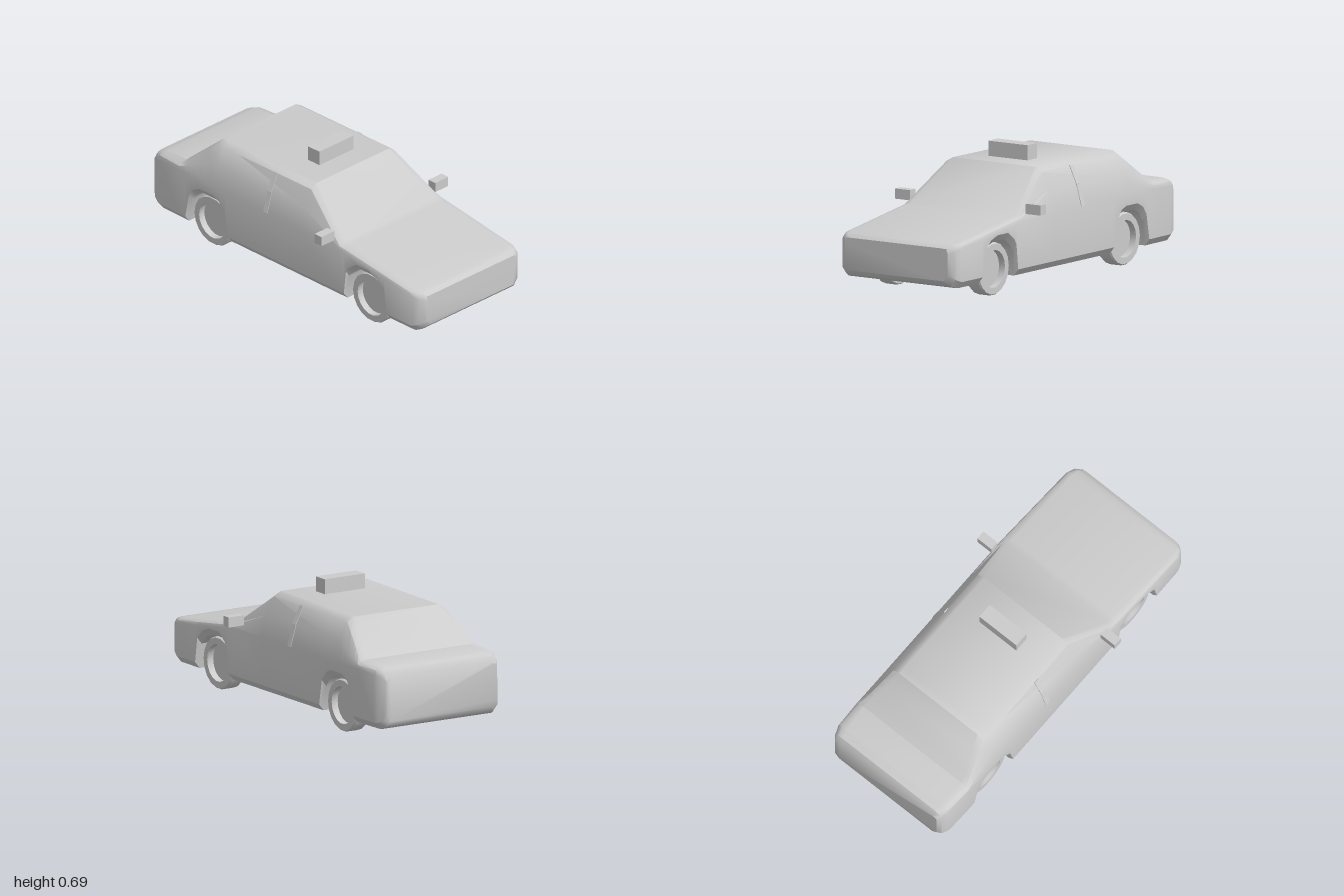
import * as THREE from 'three';
import { toCreasedNormals } from 'three/addons/utils/BufferGeometryUtils.js';

// Upper half-section along the car: z, then x,y of sill width, belt, window, cant rail, roof edge
const UPPER = [
  [1.00, 0.330, 0.330, 0.270, 0.325, 0.285, 0.315, 0.293, 0.300, 0.298],
  [0.975, 0.362, 0.362, 0.285, 0.355, 0.300, 0.345, 0.310, 0.330, 0.315],
  [0.93, 0.378, 0.378, 0.295, 0.372, 0.310, 0.360, 0.318, 0.340, 0.322],
  [0.40, 0.382, 0.382, 0.370, 0.375, 0.385, 0.360, 0.393, 0.335, 0.398],
  [0.12, 0.382, 0.382, 0.375, 0.350, 0.490, 0.305, 0.585, 0.265, 0.608],
  [-0.57, 0.382, 0.382, 0.375, 0.350, 0.490, 0.305, 0.580, 0.265, 0.603],
  [-0.78, 0.382, 0.382, 0.380, 0.378, 0.400, 0.360, 0.415, 0.330, 0.422],
  [-0.93, 0.378, 0.378, 0.375, 0.370, 0.400, 0.350, 0.412, 0.320, 0.416],
  [-0.98, 0.362, 0.360, 0.365, 0.350, 0.385, 0.335, 0.395, 0.310, 0.400],
  [-1.00, 0.345, 0.345, 0.350, 0.335, 0.360, 0.320, 0.365, 0.300, 0.370],
];

// Underside height along the car, with the wheel arches cut in: z, y
const LOWER = [
  [1, 0.125], [0.975, 0.1], [0.94, 0.085],
  [0.755, 0.085], [0.735, 0.22], [0.68, 0.27], [0.62, 0.29],
  [0.53, 0.29], [0.475, 0.25], [0.455, 0.22], [0.44, 0.085],
  [-0.42, 0.085], [-0.445, 0.22], [-0.49, 0.275], [-0.53, 0.29],
  [-0.63, 0.29], [-0.68, 0.265], [-0.71, 0.22], [-0.735, 0.085],
  [-0.95, 0.085], [-0.98, 0.1], [-1, 0.13],
];

// Linear lookup in a table sorted by falling z
function sample(table, z) {
  let i = 0;
  while (i < table.length - 2 && z < table[i + 1][0]) i++;
  const a = table[i], b = table[i + 1];
  const t = (a[0] - z) / (a[0] - b[0]);
  return a.slice(1).map((v, k) => v + (b[k + 1] - v) * t);
}

// Body shell lofted through mirrored cross-sections
function bodyGeometry() {
  const zs = [...new Set([...UPPER, ...LOWER].map((r) => r[0]))].sort((a, b) => b - a);
  const positions = [], index = [];
  const n = 12;
  zs.forEach((z) => {
    const [hw, ...u] = sample(UPPER, z);
    const [b] = sample(LOWER, z);
    const half = [[hw - 0.028, b], [hw, b + 0.035]];
    for (let k = 0; k < u.length; k += 2) half.push([u[k], u[k + 1]]);
    const ring = [...half, ...half.slice().reverse().map(([x, y]) => [-x, y])];
    ring.forEach(([x, y]) => positions.push(x, y, z));
  });
  for (let i = 0; i < zs.length - 1; i++) {
    for (let j = 0; j < n; j++) {
      const a = i * n + j, b = i * n + (j + 1) % n;
      index.push(a, a + n, b, b, a + n, b + n);
    }
  }
  const last = (zs.length - 1) * n;
  for (let j = 1; j < n - 1; j++) {
    index.push(0, j, j + 1, last, last + j + 1, last + j);
  }
  const geometry = new THREE.BufferGeometry();
  geometry.setAttribute('position', new THREE.Float32BufferAttribute(positions, 3));
  geometry.setIndex(index);
  return toCreasedNormals(geometry, 0.6);
}

// Wheel with a tyre ring and a sunken outer hub; axis along y
function wheelGeometry() {
  const profile = [
    [0, -0.0425], [0.1, -0.0425], [0.134, -0.0425], [0.14, -0.034],
    [0.14, 0.034], [0.134, 0.0425], [0.1, 0.0425], [0.1, 0.005], [0, 0.005],
  ].map(([r, y]) => new THREE.Vector2(r, y));
  return toCreasedNormals(new THREE.LatheGeometry(profile, 18), 0.6);
}

export function createModel() {
  const model = new THREE.Group();
  const paint = new THREE.MeshStandardMaterial({ color: 0xcccccc });
  paint.name = 'light grey';

  const add = (name, geometry, x = 0, y = 0, z = 0) => {
    const mesh = new THREE.Mesh(geometry, paint);
    mesh.name = name;
    mesh.position.set(x, y, z);
    model.add(mesh);
    return mesh;
  };

  add('body', bodyGeometry());
  add('roofSign', new THREE.BoxGeometry(0.25, 0.08, 0.085), 0, 0.652, -0.043);

  const wheel = wheelGeometry();
  for (const [side, s] of [['left', 1], ['right', -1]]) {
    // Wheels
    for (const [end, z] of [['Front', 0.6], ['Rear', -0.575]]) {
      add(`${side}${end}Wheel`, wheel, s * 0.2975, 0.14, z).rotation.z = -s * Math.PI / 2;
    }
    // Door mirror
    add(`${side}Mirror`, new THREE.BoxGeometry(0.095, 0.054, 0.05), s * 0.4175, 0.428, 0.333);
    // Headlight slit
    add(`${side}Headlight`, new THREE.BoxGeometry(0.138, 0.014, 0.008), s * 0.252, 0.29, 0.996);
    // Door pillar, following the lean of the side windows
    for (const [x0, y0, x1, y1] of [[0.382, 0.375, 0.35, 0.49], [0.35, 0.49, 0.305, 0.585]]) {
      const length = Math.hypot(x1 - x0, y1 - y0);
      add(`${side}DoorPillar`, new THREE.BoxGeometry(0.006, length, 0.03),
        s * (x0 + x1) / 2, (y0 + y1) / 2, -0.14).rotation.z = s * Math.atan2(x0 - x1, y1 - y0);
    }
  }
  return model;
}
